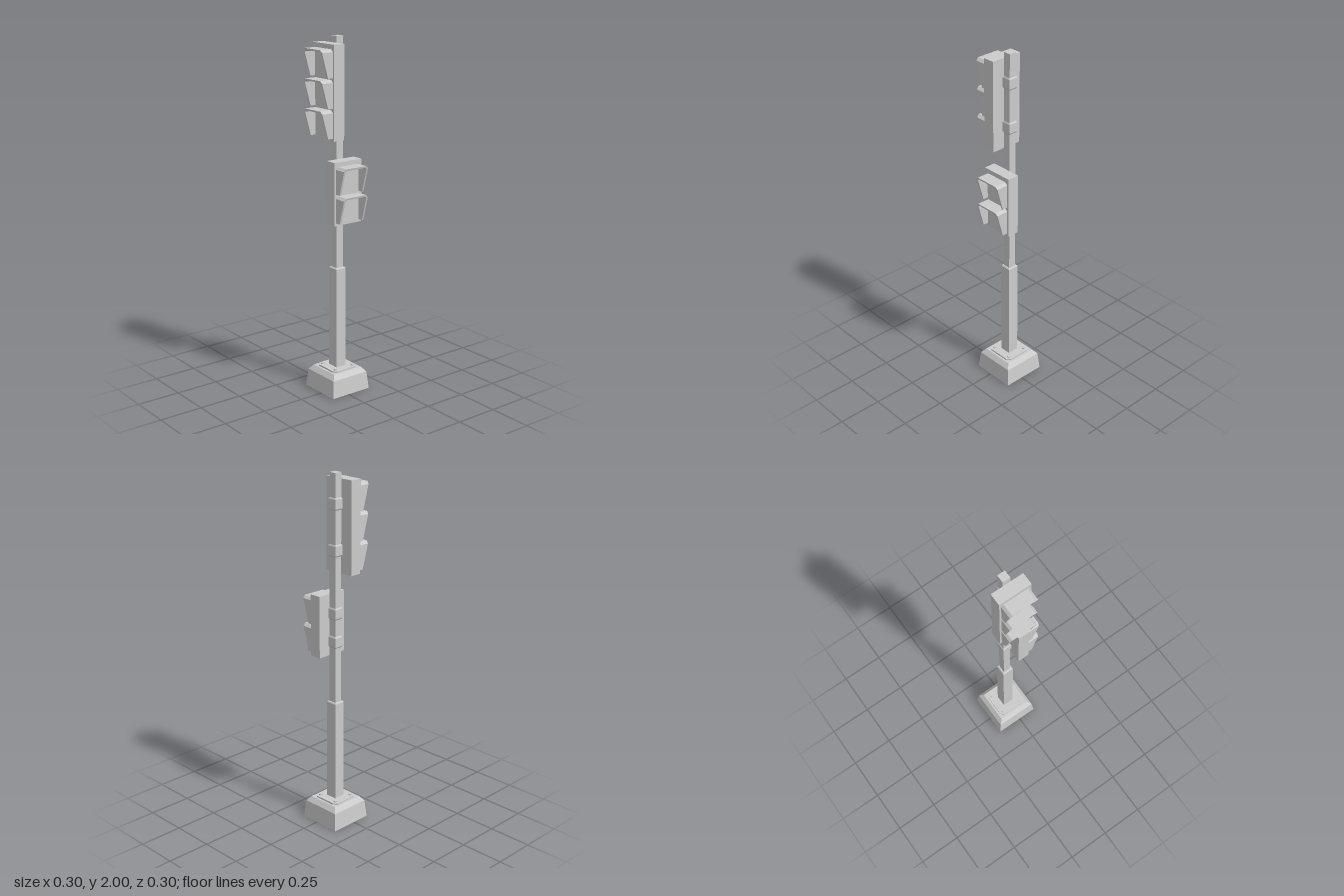
import * as THREE from 'three';

const material = new THREE.MeshStandardMaterial({ color: 0xcccccc, flatShading: true, side: THREE.DoubleSide });

function add(parent, name, geometry, x = 0, y = 0, z = 0) {
  const mesh = new THREE.Mesh(geometry, material);
  mesh.name = name;
  mesh.position.set(x, y, z);
  parent.add(mesh);
  return mesh;
}

// Square stack of [half width, height] rings
function squareProfile(rings) {
  const points = rings.map(([half, y]) => new THREE.Vector2(half * Math.SQRT2, y));
  return new THREE.LatheGeometry(points, 4, Math.PI / 4);
}

// Open-bottomed hood with chamfered top corners and a slanted front edge
function visorGeometry() {
  const w = 0.082, c = 0.014, t = 0.01, h = 0.15, depth = 0.073;
  const outline = [
    [-w, -h], [-w + t, -h], [-w + t, -c - t / 2], [-w + c + t / 2, -t],
    [w - c - t / 2, -t], [w - t, -c - t / 2], [w - t, -h], [w, -h],
    [w, -c], [w - c, 0], [-w + c, 0], [-w, -c],
  ];
  const shape = new THREE.Shape(outline.map(([x, y]) => new THREE.Vector2(x, y)));
  const geometry = new THREE.ExtrudeGeometry(shape, { depth, bevelEnabled: false });
  const p = geometry.attributes.position;
  for (let i = 0; i < p.count; i++) {
    if (p.getZ(i) > depth / 2) p.setZ(i, depth + 0.28 * p.getY(i));
  }
  geometry.computeVertexNormals();
  return geometry;
}

// Signal housing with its hoods and pole clamps, facing +z from the pole axis
function signalHead(name, bottom, top, lamps, clampHeights) {
  const head = new THREE.Group();
  head.name = name;
  add(head, 'housing', new THREE.BoxGeometry(0.186, top - bottom, 0.068), 0, (top + bottom) / 2, 0.06);
  const visor = visorGeometry();
  for (let i = 0; i < lamps; i++) add(head, 'visor', visor, 0, top - 0.025 - i * 0.16, 0.094);
  const clamp = squareProfile([[0.022, -0.034], [0.027, -0.026], [0.027, 0.026], [0.022, 0.034]]);
  for (const y of clampHeights) add(head, 'clamp', clamp, 0, y, 0);
  return head;
}

export function createModel() {
  const model = new THREE.Group();
  model.name = 'trafficLight';
  const body = new THREE.Group();
  body.name = 'post';
  body.position.set(-0.02, 0, -0.02);
  model.add(body);

  // Hollow sloping foot
  add(body, 'base', squareProfile([[0.128, 0], [0.118, 0.1], [0.096, 0.127], [0.03, 0.127]]));

  // Chamfered mounting plate with hex bolts
  const h = 0.084, c = 0.02;
  const plate = new THREE.Shape([
    [-h, -h + c], [-h + c, -h], [h - c, -h], [h, -h + c],
    [h, h - c], [h - c, h], [-h + c, h], [-h, h - c],
  ].map(([x, y]) => new THREE.Vector2(x, y)));
  const plateGeometry = new THREE.ExtrudeGeometry(plate, { depth: 0.01, bevelEnabled: false });
  plateGeometry.rotateX(-Math.PI / 2);
  add(body, 'mountingPlate', plateGeometry, 0, 0.126, 0);
  const bolt = new THREE.CylinderGeometry(0.01, 0.01, 0.008, 6);
  bolt.rotateY(Math.PI / 6);
  for (const x of [-0.06, 0.06]) {
    for (const z of [-0.06, 0.06]) add(body, 'bolt', bolt, x, 0.139, z);
  }

  // Thick lower sleeve and slim upper pole
  add(body, 'sleeve', squareProfile([[0.033, 0.13], [0.033, 0.716], [0.028, 0.722], [0, 0.722]]));
  add(body, 'pole', new THREE.BoxGeometry(0.044, 1.3, 0.044), 0, 1.35, 0);

  // Three-lamp head to the front, two-lamp head to the left
  body.add(signalHead('frontHead', 1.455, 1.965, 3, [1.836, 1.585]));
  const side = signalHead('sideHead', 0.99, 1.34, 2, [1.235, 1.073]);
  side.rotation.y = Math.PI / 2;
  body.add(side);
  return model;
}
